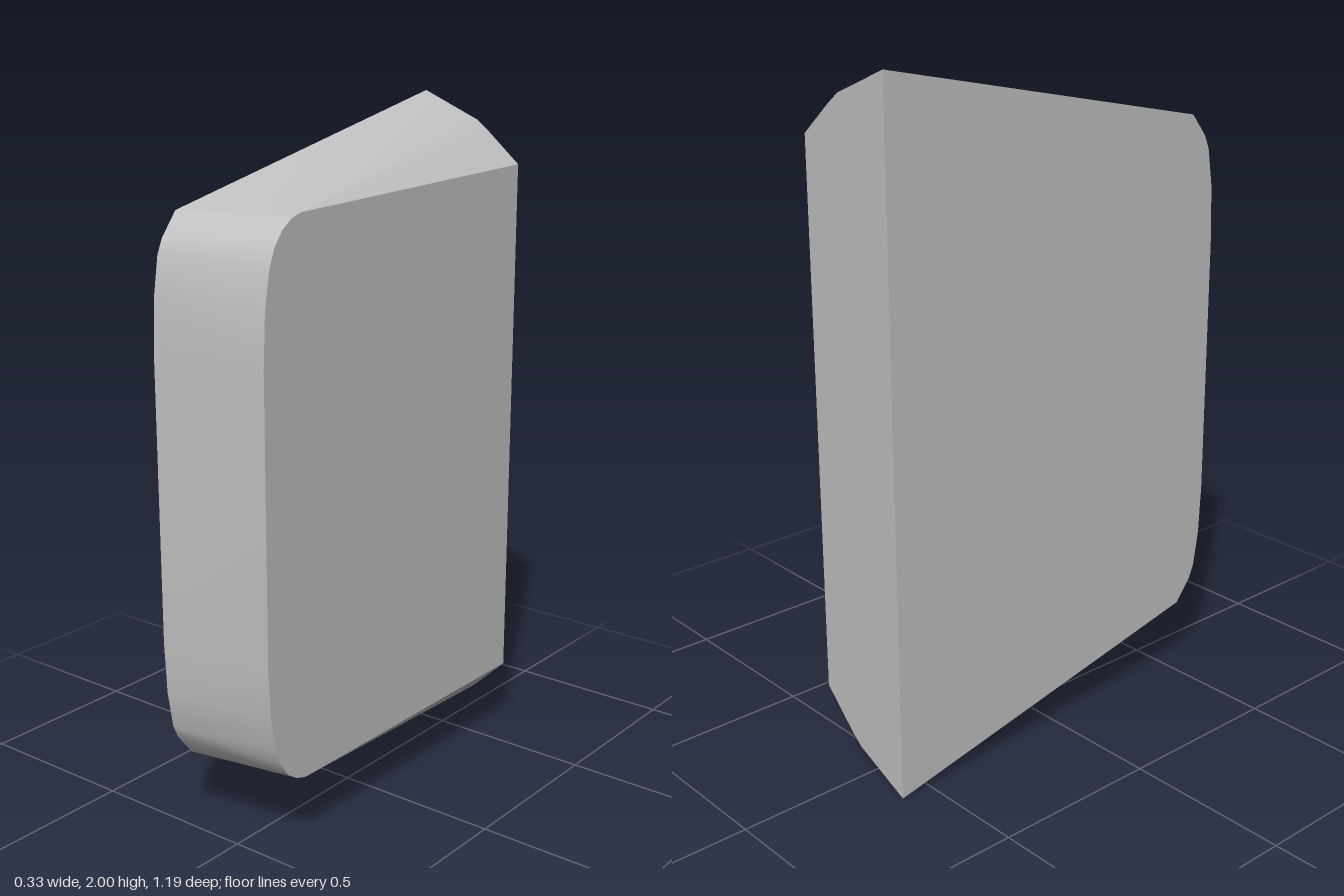
import * as THREE from 'three';
import { toCreasedNormals } from 'three/addons/utils/BufferGeometryUtils.js';
import { ConvexGeometry } from 'three/addons/geometries/ConvexGeometry.js';

const HALF = 0.167; // half thickness along x

// Upper half of each side's rounded front edge, as [z, y]
const wideEdge = [[0.595, 1.4], [0.588, 1.55], [0.57, 1.66], [0.552, 1.7], [0.5, 1.765]];
const narrowEdge = [[0.548, 1.4], [0.54, 1.55], [0.522, 1.65], [0.503, 1.7], [0.472, 1.742], [0.435, 1.767], [0.4, 1.778]];

// Bevelled ends of the flat back, as [x, y]
const backTop = [[-HALF, 2], [0.02, 1.923], [0.06, 1.893], [HALF, 1.803]];
const backBottom = [[-HALF, 0], [0.02, 0.08], [0.06, 0.112], [HALF, 0.216]];

export function createModel() {
  const points = [];
  // Front curves, mirrored top to bottom
  for (const [x, edge] of [[-HALF, wideEdge], [HALF, narrowEdge]]) {
    for (const [z, y] of edge) {
      points.push(new THREE.Vector3(x, y, z), new THREE.Vector3(x, 2 - y, z));
    }
  }
  // Back outline
  for (const [x, y] of [...backTop, ...backBottom]) {
    points.push(new THREE.Vector3(x, y, -0.595));
  }

  // Solid skin stretched between the outlines, smooth on the curves
  const geometry = toCreasedNormals(new ConvexGeometry(points), 0.4);
  const grey = new THREE.MeshStandardMaterial({ color: 0xbfbfbf });
  grey.name = 'grey';
  const body = new THREE.Mesh(geometry, grey);
  body.name = 'taperedBlock';

  const group = new THREE.Group();
  group.name = 'taperedKeyBlock';
  group.add(body);
  return group;
}
